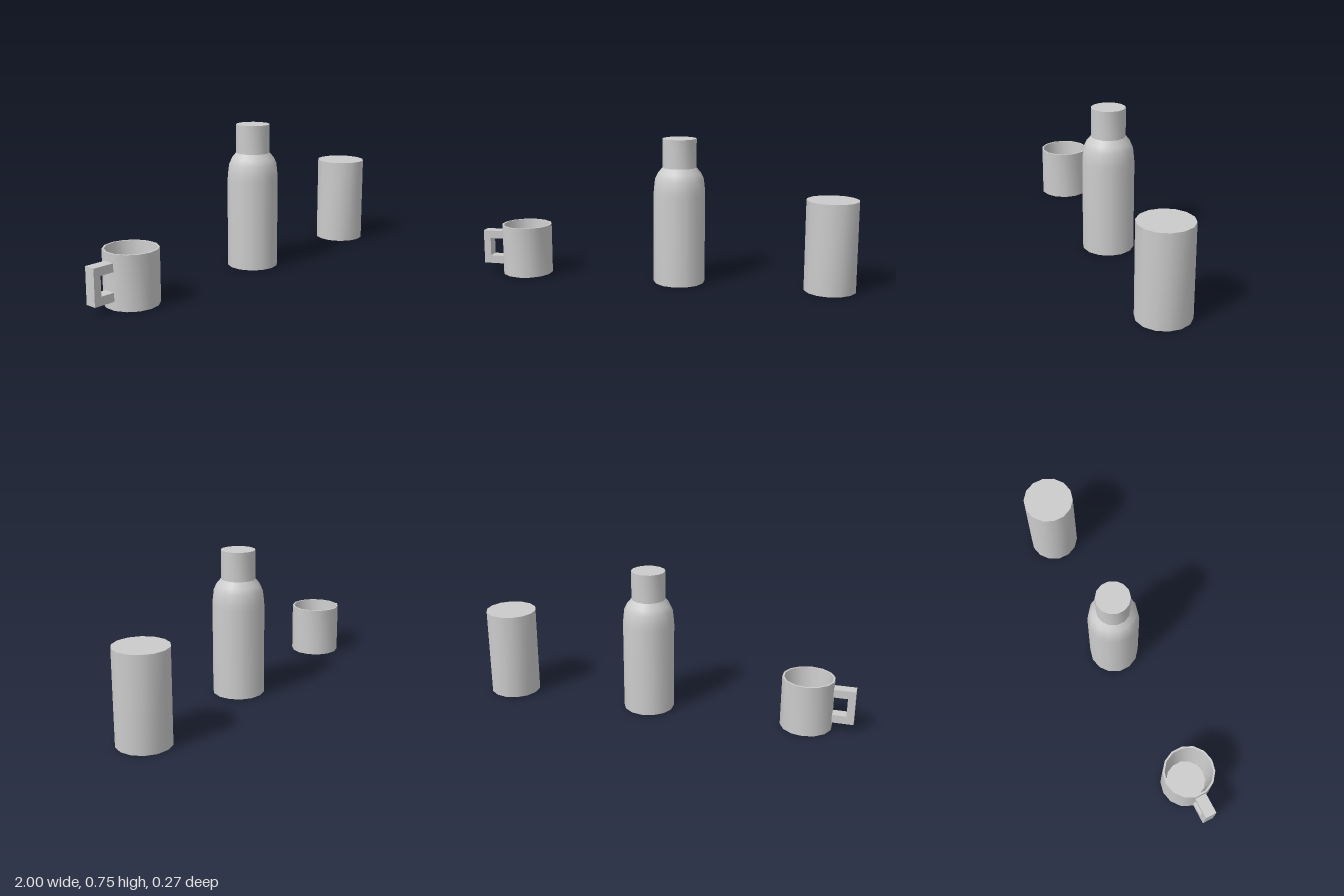
import * as THREE from 'three';
import { toCreasedNormals } from 'three/addons/utils/BufferGeometryUtils.js';

const SIDES = 14;
const R = 0.134; // shared body radius
const FLAT = R * Math.cos(Math.PI / SIDES); // distance from axis to a flat side
const material = new THREE.MeshStandardMaterial({ color: 0xcccccc });

function part(name, geometry, x) {
  const mesh = new THREE.Mesh(toCreasedNormals(geometry, 0.6), material);
  mesh.name = name;
  mesh.position.x = x;
  return mesh;
}

// Turned solid from [radius, height] pairs, running from bottom to top
function turned(profile) {
  return new THREE.LatheGeometry(profile.map(([r, y]) => new THREE.Vector2(r, y)), SIDES);
}

function createMug(x) {
  const mug = new THREE.Group();
  mug.name = 'mug';

  // Hollow cup with slightly tapered inside
  mug.add(part('cup', turned([
    [0, 0], [R, 0], [R, 0.268], [0.124, 0.268], [0.104, 0.03], [0, 0.03],
  ]), x));

  // Square C-shaped handle, as wide as one side of the cup
  const width = 2 * R * Math.sin(Math.PI / SIDES);
  const wall = -FLAT, outer = -1 - x, inner = outer + 0.038;
  const shape = new THREE.Shape([
    [wall, 0.044], [wall, 0.087], [inner, 0.087], [inner, 0.184],
    [wall, 0.184], [wall, 0.226], [outer, 0.226], [outer, 0.044],
  ].map(([px, py]) => new THREE.Vector2(px, py)));
  const handle = new THREE.ExtrudeGeometry(shape, { depth: width, bevelEnabled: false });
  handle.translate(0, 0, -width / 2);
  mug.add(part('handle', handle, x));
  return mug;
}

function createBottle(x) {
  const bottle = new THREE.Group();
  bottle.name = 'bottle';

  // Body with rounded shoulder
  bottle.add(part('body', turned([
    [0, 0], [R, 0], [R, 0.466], [0.132, 0.495], [0.126, 0.547], [0.112, 0.577], [0.088, 0.606],
  ]), x));

  // Straight cap
  bottle.add(part('cap', turned([[0.088, 0.606], [0.088, 0.755], [0, 0.755]]), x));
  return bottle;
}

export function createModel() {
  const model = new THREE.Group();
  model.name = 'drinkware';
  model.add(createMug(-0.759), createBottle(0.086));

  // Plain can
  const can = new THREE.CylinderGeometry(R, R, 0.466, SIDES);
  can.translate(0, 0.233, 0);
  model.add(part('can', can, 1 - FLAT));
  return model;
}
